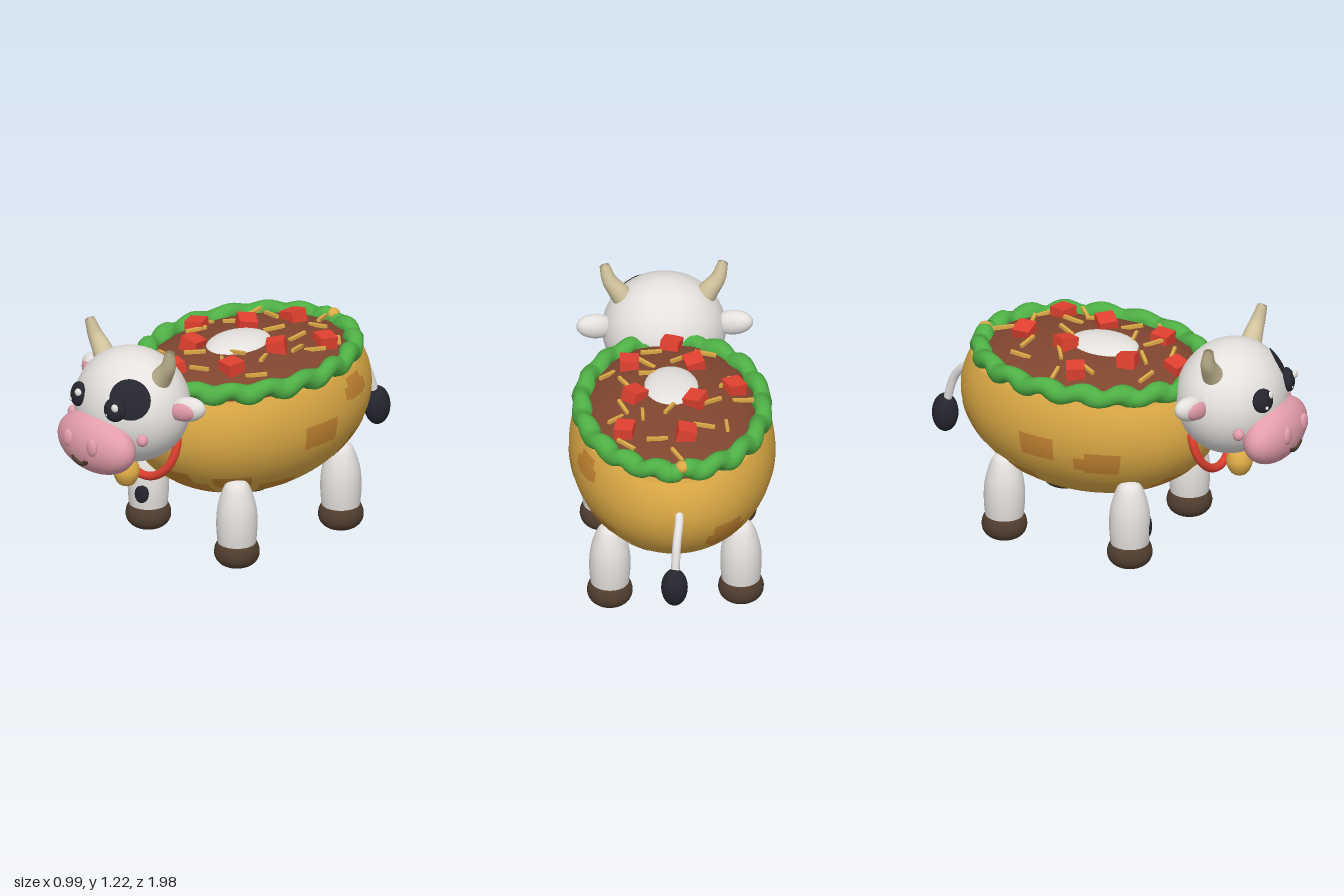
import * as THREE from 'three';

const paint = (name, color, side = THREE.FrontSide) => {
  const m = new THREE.MeshStandardMaterial({ color, side });
  m.name = name;
  return m;
};

export function createModel() {
  const white = paint('white hide', 0xe4e1de);
  const black = paint('black', 0x25262e, THREE.DoubleSide);
  const pink = paint('pink', 0xe39dab);
  const gold = paint('golden shell', 0xdba945, THREE.DoubleSide);
  const toast = paint('toasted shell', 0xc68631, THREE.DoubleSide);
  const green = paint('lettuce green', 0x4fb045);
  const red = paint('tomato red', 0xe0402f);
  const meat = paint('meat brown', 0x80462f);
  const hoofBrown = paint('hoof brown', 0x503e2f);
  const bone = paint('horn', 0xd6c8a0);

  const model = new THREE.Group();
  model.name = 'tacoCow';

  const add = (name, geo, mat, pos = [0, 0, 0], rot = [0, 0, 0]) => {
    const mesh = new THREE.Mesh(geo, mat);
    mesh.name = name;
    mesh.position.set(...pos);
    mesh.rotation.set(...rot);
    model.add(mesh);
    return mesh;
  };
  const ball = (name, mat, pos, radii, rot, seg = 28) => {
    const geo = new THREE.SphereGeometry(1, seg, Math.round(seg * 0.7)).scale(...radii);
    return add(name, geo, mat, pos, rot);
  };
  const lathe = (pts) => new THREE.LatheGeometry(
    new THREE.SplineCurve(pts.map(([x, y]) => new THREE.Vector2(x, y))).getPoints(24)
      .map((p) => p.setX(Math.max(0, p.x))), 28);

  // Tube whose thickness follows a rule along its length
  const taperedTube = (curve, n, sides, radius) => {
    const geo = new THREE.TubeGeometry(curve, n, 1, sides, false);
    const p = geo.attributes.position;
    const c = new THREE.Vector3(), v = new THREE.Vector3();
    for (let i = 0; i <= n; i++) {
      curve.getPointAt(i / n, c);
      for (let j = 0; j <= sides; j++) {
        const k = i * (sides + 1) + j;
        v.fromBufferAttribute(p, k).sub(c).multiplyScalar(radius(i / n)).add(c);
        p.setXYZ(k, v.x, v.y, v.z);
      }
    }
    return geo;
  };
  const path = (...pts) => new THREE.CatmullRomCurve3(pts.map((q) => new THREE.Vector3(...q)));

  // Shell body: ellipsoid cut open at the rim
  const B = { x: 0.495, y: 0.45, z: 0.665, cy: 0.69, cz: -0.12 };
  const rimY = 0.865;
  const cut = Math.acos((rimY - B.cy) / B.y);
  add('shell', new THREE.SphereGeometry(1, 64, 36, 0, Math.PI * 2, cut, Math.PI - cut)
    .scale(B.x, B.y, B.z), gold, [0, B.cy, B.cz]);
  const rs = Math.sin(cut);
  add('shellRim', new THREE.CircleGeometry(1, 64).rotateX(-Math.PI / 2)
    .scale(B.x * rs, 1, B.z * rs), gold, [0, rimY, B.cz]);

  // Toasted marks: angle from front, height, half angle, half height
  const toastMark = (deg, y, halfDeg, halfY) => {
    const geo = new THREE.PlaneGeometry(2, 2, 10, 8);
    const p = geo.attributes.position;
    for (let i = 0; i < p.count; i++) {
      const a = THREE.MathUtils.degToRad(deg + p.getX(i) * halfDeg);
      const s = (y + p.getY(i) * halfY - B.cy) / B.y;
      const c = Math.sqrt(1 - s * s), k = 1.004;
      p.setXYZ(i, B.x * Math.sin(a) * c * k, B.y * s * k, B.z * Math.cos(a) * c * k);
    }
    geo.computeVertexNormals();
    add('toastMark', geo, toast, [0, B.cy, B.cz]);
  };
  [
    [93, 0.63, 9, 0.06], [118, 0.785, 6, 0.055], [118, 0.77, 9, 0.03],
    [128, 0.5, 11, 0.035], [124, 0.45, 9, 0.04], [47, 0.43, 11, 0.035],
    [-65, 0.57, 8, 0.06], [-72, 0.56, 6, 0.035], [-18, 0.4, 11, 0.05],
    [-24, 0.36, 9, 0.045], [13, 0.41, 10, 0.08], [20, 0.37, 12, 0.05],
    [-150, 0.53, 9, 0.08], [-150, 0.52, 13, 0.035], [-95, 0.62, 8, 0.06],
    [-112, 0.4, 10, 0.035], [150, 0.39, 9, 0.03], [75, 0.36, 12, 0.035],
  ].forEach((m) => toastMark(...m));

  // Filling with a white crown
  const M = { x: 0.42, y: 0.12, z: 0.57, cy: 0.87 };
  ball('meatFilling', meat, [0, M.cy, B.cz], [M.x, M.y, M.z], undefined, 48);
  ball('creamDollop', white, [0, 0.97, -0.06], [0.135, 0.05, 0.18]);
  const fillY = (x, z) => M.cy + M.y * Math.sqrt(
    Math.max(0, 1 - (x / M.x) ** 2 - ((z - B.cz) / M.z) ** 2));

  // Wavy lettuce edge, open at the back
  const leaf = [];
  for (let i = 0; i <= 180; i++) {
    const a = THREE.MathUtils.degToRad(-173 + i * 351 / 180);
    const w = Math.sin(a * 18), r = 1 + 0.012 * Math.cos(a * 18);
    leaf.push([0.435 * r * Math.sin(a), 0.91 + 0.014 * w, B.cz + 0.565 * r * Math.cos(a)]);
  }
  add('lettuce', taperedTube(path(...leaf), 260, 12,
    (t) => 0.046 + 0.006 * Math.sin(t * 110)), green);
  for (const end of [leaf[0], leaf[180]]) ball('lettuceEnd', green, end, [0.046, 0.046, 0.046]);
  ball('cheeseBead', gold, [-0.02, 0.935, -0.69], [0.034, 0.03, 0.034]);

  // Tomato cubes
  [[-0.05, -0.46], [0.24, -0.4], [-0.11, -0.21], [0.18, -0.14],
    [-0.3, -0.06], [-0.12, 0.13], [0.19, 0.16], [-0.02, 0.34]].forEach(([x, z], i) =>
    add('tomatoCube', new THREE.BoxGeometry(0.09, 0.07, 0.09), red,
      [x, fillY(x, z) + 0.015, z], [0.2 * Math.sin(i * 2), i * 1.3, 0.25 * Math.cos(i * 3)]));

  // Cheese shreds: x, z, turn
  [[0.09, -0.49, 0.2], [-0.25, -0.38, 1.6], [-0.14, -0.4, -0.15], [0.24, -0.49, -0.7],
    [0.15, -0.3, 1.55], [0.02, -0.27, 1.1], [0.28, -0.3, 0.8], [-0.19, -0.2, 0.6],
    [-0.34, -0.15, 0.15], [-0.26, -0.02, 1.1], [0.22, -0.02, -1], [0.1, 0.05, 0.2],
    [0.3, 0.1, 0.8], [-0.05, 0.18, 0.7], [-0.18, 0.26, -0.2], [0.08, 0.27, 0.25],
    [0.24, -0.22, -1.2], [0, -0.6, -1.1], [0.11, 0.15, -0.7]].forEach(([x, z, turn]) =>
    add('cheeseShred', new THREE.BoxGeometry(0.105, 0.016, 0.016), gold,
      [x, fillY(x, z) + 0.012, z], [0, turn, 0.12]));

  // Head and muzzle
  const headAt = [0, 0.865, 0.63], headR = [0.298, 0.28, 0.265];
  ball('head', white, headAt, headR, undefined, 48);
  ball('muzzle', pink, [0, 0.73, 0.862], [0.245, 0.15, 0.122], undefined, 40);
  add('mouth', new THREE.TorusGeometry(0.052, 0.012, 10, 24, Math.PI * 0.8)
    .rotateZ(Math.PI * 1.1), hoofBrown, [0, 0.7, 0.976], [0.2, 0, 0]);

  // Eye patch hugging the head
  const aim = new THREE.Quaternion().setFromUnitVectors(
    new THREE.Vector3(0, 1, 0), new THREE.Vector3(0.59, 0.45, 0.67).normalize());
  add('eyePatch', new THREE.SphereGeometry(1.012, 32, 10, 0, Math.PI * 2, 0, 0.36)
    .applyQuaternion(aim).scale(...headR), black, headAt);

  for (const s of [-1, 1]) {
    ball('eye', black, [s * 0.13, 0.94, 0.862], [0.057, 0.06, 0.035], [-0.2, s * 0.4, 0]);
    ball('eyeShine', white, [s * 0.13 + 0.026, 0.962, 0.888], [0.02, 0.02, 0.014]);
    ball('eyeGlint', white, [s * 0.13 - 0.02, 0.917, 0.895], [0.009, 0.009, 0.008]);
    ball('nostril', pink, [s * 0.085, 0.757, 0.972], [0.033, 0.045, 0.018]);
    ball('cheek', pink, [s * 0.245, 0.793, 0.79], [0.028, 0.03, 0.028]);
    ball('ear', white, [s * 0.33, 0.922, 0.575], [0.1, 0.062, 0.05], [0, s * 0.3, s * 0.25]);
    ball('innerEar', pink, [s * 0.328, 0.917, 0.604], [0.078, 0.047, 0.03],
      [0, s * 0.3, s * 0.25]);
    const horn = path([s * 0.19, 1.04, 0.63], [s * 0.225, 1.09, 0.63],
      [s * 0.262, 1.145, 0.635], [s * 0.287, 1.228, 0.65]);
    add('horn', taperedTube(horn, 24, 20, (t) => (t === 1 ? 0 : 0.056 - 0.033 * t)), bone);

    // Legs and hooves
    for (const z of [0.24, -0.435]) {
      add('leg', lathe([[0.09, 0.1], [0.099, 0.2], [0.095, 0.3], [0.072, 0.39],
        [0.045, 0.437], [0, 0.45]]), white, [s * 0.315, 0, z]);
      add('hoof', lathe([[0, 0.004], [0.06, 0.01], [0.097, 0.036], [0.11, 0.075],
        [0.1, 0.117], [0.075, 0.136], [0, 0.138]]), hoofBrown, [s * 0.315, 0, z]);
    }
  }
  ball('legSpot', black, [-0.272, 0.21, 0.322], [0.036, 0.05, 0.014], [0, 0.45, -0.15]);

  // Collar and bell
  add('collar', new THREE.TorusGeometry(0.185, 0.021, 14, 48), red,
    [0, 0.65, 0.515], [-0.28, 0, 0]);
  add('bell', lathe([[0, -0.078], [0.04, -0.062], [0.064, -0.01], [0.056, 0.035],
    [0.032, 0.065], [0, 0.075]]), gold, [0, 0.523, 0.67]);

  // Tail
  const tail = path([0, 0.73, -0.74], [0, 0.7, -0.8], [0.015, 0.62, -0.87], [0.028, 0.45, -0.925]);
  add('tail', new THREE.TubeGeometry(tail, 28, 0.021, 14), white);
  ball('tailTuft', black, [0.03, 0.405, -0.93], [0.064, 0.098, 0.064]);

  return model;
}
